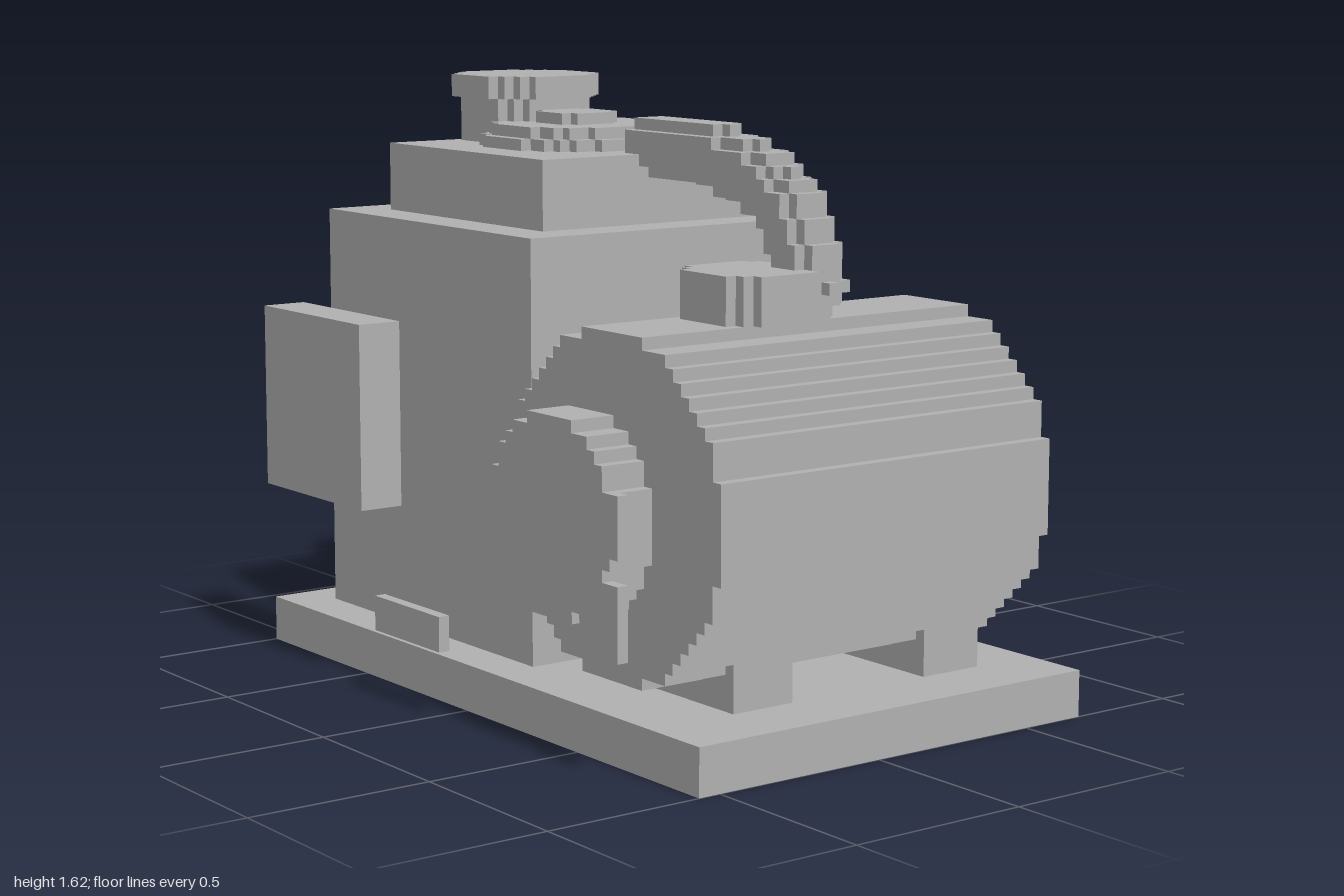
import * as THREE from 'three';

// All sizes below are in grid cells; 32 cells make one unit.
const U = 1 / 32;

// Stair-stepped circular outline of radius r cells
function steppedDisc(r, depth) {
  const widthAt = j => Math.floor(Math.sqrt((r + 0.15) ** 2 - (j + 0.5) ** 2) + 0.5);
  const right = [];
  for (let j = -r; j < r; j++) {
    const w = widthAt(j < 0 ? -j - 1 : j);
    right.push([w, j], [w, j + 1]);
  }
  const left = right.map(([x, y]) => [-x, y]).reverse();
  const pts = [...right, ...left].map(([x, y]) => new THREE.Vector2(x * U, y * U));
  return new THREE.ExtrudeGeometry(new THREE.Shape(pts), { depth: depth * U, bevelEnabled: false });
}

// Cube-stepped tube: fills cells whose centres lie within r of the path, keeping exposed faces only
function steppedTube(path, r, lo, hi) {
  const samples = path.getPoints(80);
  const cells = new Set();
  const key = (x, y, z) => `${x},${y},${z}`;
  const p = new THREE.Vector3();
  const list = [];
  for (let x = lo[0]; x < hi[0]; x++)
    for (let y = lo[1]; y < hi[1]; y++)
      for (let z = lo[2]; z < hi[2]; z++) {
        p.set(x + 0.5, y + 0.5, z + 0.5);
        if (samples.some(s => s.distanceToSquared(p) <= r * r)) {
          cells.add(key(x, y, z));
          list.push([x, y, z]);
        }
      }
  const pos = [];
  for (const c of list)
    for (let a = 0; a < 3; a++)
      for (const s of [0, 1]) {
        const n = [...c];
        n[a] += s ? 1 : -1;
        if (cells.has(key(...n))) continue;
        const corner = (u, v) => {
          const q = [...c];
          q[a] += s;
          q[(a + 1) % 3] += u;
          q[(a + 2) % 3] += v;
          return q.map(k => k * U);
        };
        const q = [corner(0, 0), corner(1, 0), corner(1, 1), corner(0, 1)];
        if (!s) q.reverse();
        for (const i of [0, 1, 2, 0, 2, 3]) pos.push(...q[i]);
      }
  const g = new THREE.BufferGeometry();
  g.setAttribute('position', new THREE.Float32BufferAttribute(pos, 3));
  g.computeVertexNormals();
  return g;
}

export function createModel() {
  const group = new THREE.Group();
  const grey = new THREE.MeshStandardMaterial({ color: 0xb3b3b3 });
  grey.name = 'grey';

  const add = (name, geometry) => {
    const mesh = new THREE.Mesh(geometry, grey);
    mesh.name = name;
    group.add(mesh);
    return mesh;
  };
  const box = (name, x0, x1, y0, y1, z0, z1) =>
    add(name, new THREE.BoxGeometry((x1 - x0) * U, (y1 - y0) * U, (z1 - z0) * U))
      .position.set((x0 + x1) / 2 * U, (y0 + y1) / 2 * U, (z0 + z1) / 2 * U);
  const upright = (name, x, z, r, y0, y1) =>
    add(name, steppedDisc(r, y1 - y0).rotateX(-Math.PI / 2)).position.set(x * U, y0 * U, z * U);
  const facing = (name, x, y, r, z0, z1) =>
    add(name, steppedDisc(r, z1 - z0)).position.set(x * U, y * U, z0 * U);

  // Base and housing
  box('basePlate', -32, 32, 0, 4, -22, 18);
  box('housing', -28, 4, 4, 40, -18, 14);
  box('housingTop', -24, 0, 40, 46, -14, 10);

  // Filler cap and stepped valve cover
  upright('fillerNeck', -20, -2, 5, 46, 50);
  upright('fillerCap', -20, -2, 6, 50, 52);
  upright('valveCoverRim', -12, -2, 8, 46, 47);
  upright('valveCover', -12, -2, 7, 47, 48);
  upright('valveKnob', -12, -2, 3, 48, 49);

  // Motor drum on two feet
  facing('motorDrum', 18, 20, 14, -18, 16);
  for (const z of [-16, 4]) box('motorFoot', 10, 26, 4, 8, z, z + 6);
  facing('motorEndCover', 18, 20, 8, 18, 22);
  box('coverLatch', 24, 27, 18, 23, 21, 22);
  box('coverTag', 22, 27, 10, 16, 21, 22);

  // Outlet and bent pipe
  upright('outletCollar', 18, 2, 5, 34, 38);
  const path = new THREE.CatmullRomCurve3([
    [-0.5, 46.5], [6, 46.4], [13, 45], [17.2, 42.5], [19, 39.5], [20, 36.5],
  ].map(([x, y]) => new THREE.Vector3(x, y, -2.5)));
  add('bentPipe', steppedTube(path, 2.6, [-2, 34, -6], [24, 50, 2]));

  // Front panel and plate
  box('controlPanel', -26, -10, 16, 32, 18, 22);
  box('namePlate', -8, 2, 6, 9, 21, 22);

  return group;
}
